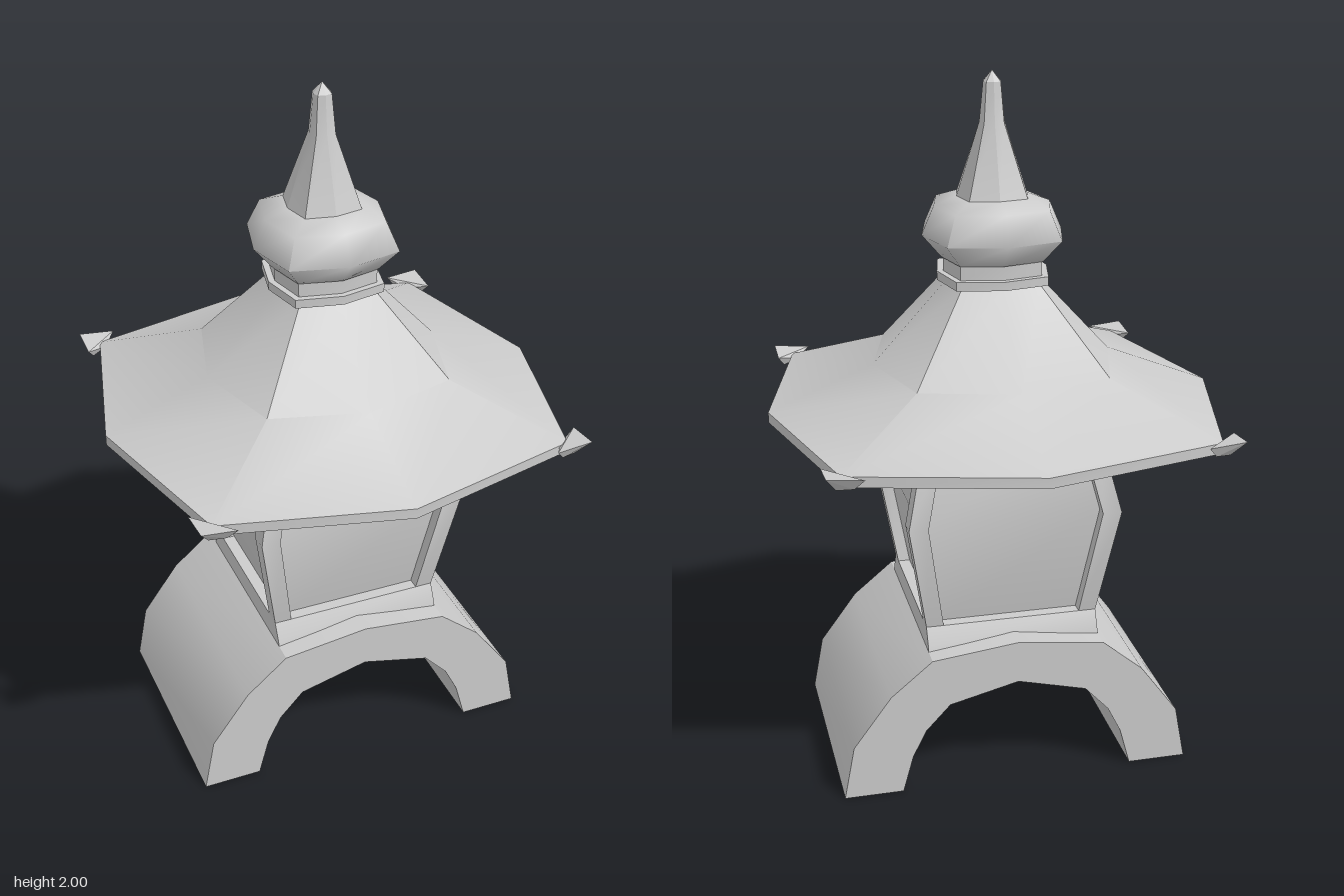
import * as THREE from 'three';
import { toCreasedNormals } from 'three/addons/utils/BufferGeometryUtils.js';
import { ConvexGeometry } from 'three/addons/geometries/ConvexGeometry.js';

const stone = new THREE.MeshStandardMaterial({ color: 0xcccccc });

// Skin a list of cross-sections (arrays of [x, y, z]); closed ones are capped at both ends
function loft(sections, closed, crease) {
  const pos = [];
  const tri = (a, b, c) => pos.push(...a, ...b, ...c);
  const n = sections[0].length;
  for (let s = 0; s < sections.length - 1; s++) {
    const lo = sections[s], hi = sections[s + 1];
    for (let i = 0; i < (closed ? n : n - 1); i++) {
      const j = (i + 1) % n;
      tri(lo[i], lo[j], hi[j]);
      tri(lo[i], hi[j], hi[i]);
    }
  }
  if (closed) {
    const bottom = sections[0], top = sections[sections.length - 1];
    for (let i = 0; i < n; i++) {
      const j = (i + 1) % n;
      tri([0, bottom[0][1], 0], bottom[j], bottom[i]);
      tri([0, top[0][1], 0], top[i], top[j]);
    }
  }
  const g = new THREE.BufferGeometry();
  g.setAttribute('position', new THREE.Float32BufferAttribute(pos, 3));
  return toCreasedNormals(g, crease);
}

// Eight-sided ring: m = distance to the middle of a side, c = x and z of a corner
function ring([y, m, c]) {
  return Array.from({ length: 8 }, (_, i) => {
    const t = (i * Math.PI) / 4, r = i % 2 ? c * Math.SQRT2 : m;
    return [r * Math.sin(t), y, r * Math.cos(t)];
  });
}

const rect = (y, x, z) => [[-x, y, z], [x, y, z], [x, y, -z], [-x, y, -z]];

export function createModel() {
  const model = new THREE.Group();
  model.name = 'stoneLantern';
  const add = (name, geometry, parent = model) => {
    const mesh = new THREE.Mesh(geometry, stone);
    mesh.name = name;
    parent.add(mesh);
    return mesh;
  };

  // Arched base
  const outer = [[0.51, 0], [0.48, 0.16], [0.37, 0.31], [0.25, 0.41]];
  const inner = [[0.2, 0.265], [0.27, 0.19], [0.31, 0.11], [0.34, 0]];
  const flip = (pts) => pts.map(([x, y]) => [-x, y]).reverse();
  const outline = [...outer, [0, 0.44], ...flip(outer), ...flip(inner), [0, 0.315], ...inner];
  const arch = new THREE.ExtrudeGeometry(
    new THREE.Shape(outline.map(([x, y]) => new THREE.Vector2(x, y))),
    { depth: 0.67, bevelEnabled: false });
  arch.translate(0, 0, -0.335);
  add('archBase', toCreasedNormals(arch, 0.5));

  // Flared foot under the lamp house
  add('foot', loft([rect(0.38, 0.25, 0.285), rect(0.425, 0.25, 0.275), rect(0.475, 0.25, 0.25)], true, 0.3));

  // Lamp house: four bulging walls, each with a recessed panel
  const recess = 0.035;
  const wallSection = ([y, h, w]) =>
    [[-h, y, h], [-w, y, h], [-w, y, h - recess], [w, y, h - recess], [w, y, h], [h, y, h]];
  const wall = loft([[0.475, 0.25, 0.2], [0.8, 0.305, 0.25], [1.01, 0.255, 0.2]].map(wallSection), false, 0.5);
  const lintel = loft([
    [[-0.2, 1.01, 0.255 - recess], [0.2, 1.01, 0.255 - recess]],
    [[-0.255, 1.01, 0.255], [0.255, 1.01, 0.255]],
    [[-0.25, 1.045, 0.25], [0.25, 1.045, 0.25]],
  ], false, 0.5);
  const house = new THREE.Group();
  house.name = 'lampHouse';
  model.add(house);
  for (let i = 0; i < 4; i++) {
    const side = new THREE.Group();
    side.name = 'wall';
    side.rotation.y = (i * Math.PI) / 2;
    add('framedPanel', wall, side);
    add('lintel', lintel, side);
    house.add(side);
  }

  // Hipped roof with a thin eave
  const roof = [[1.04, 0.645, 0.515], [1.07, 0.645, 0.515], [1.19, 0.345, 0.27], [1.425, 0.13, 0.11]];
  add('roof', loft(roof.map(ring), true, 0.7));

  // Upturned ornaments at the roof corners
  const tip = new ConvexGeometry([
    [0.565, 1.085, 0.56], [0.46, 1.075, 0.56], [0.565, 1.075, 0.46],
    [0.485, 1.045, 0.545], [0.545, 1.045, 0.485], [0.53, 1.04, 0.53], [0.5, 1.06, 0.5],
  ].map((p) => new THREE.Vector3(...p)));
  for (let i = 0; i < 4; i++) add('cornerTip', tip).rotation.y = (i * Math.PI) / 2;

  // Finial: stepped collar, bulb and spire
  add('collar', loft([[1.425, 0.158, 0.13], [1.45, 0.158, 0.13], [1.45, 0.14, 0.115], [1.495, 0.14, 0.115]].map(ring), true, 0.7));
  add('bulb', loft([[1.49, 0.145, 0.117], [1.555, 0.2, 0.16], [1.635, 0.165, 0.132], [1.66, 0.1, 0.08]].map(ring), true, 1.2));
  add('spire', loft([[1.655, 0.102, 0.083], [1.86, 0.036, 0.028], [1.97, 0.025, 0.02], [2, 0, 0]].map(ring), true, 0.3));

  return model;
}
